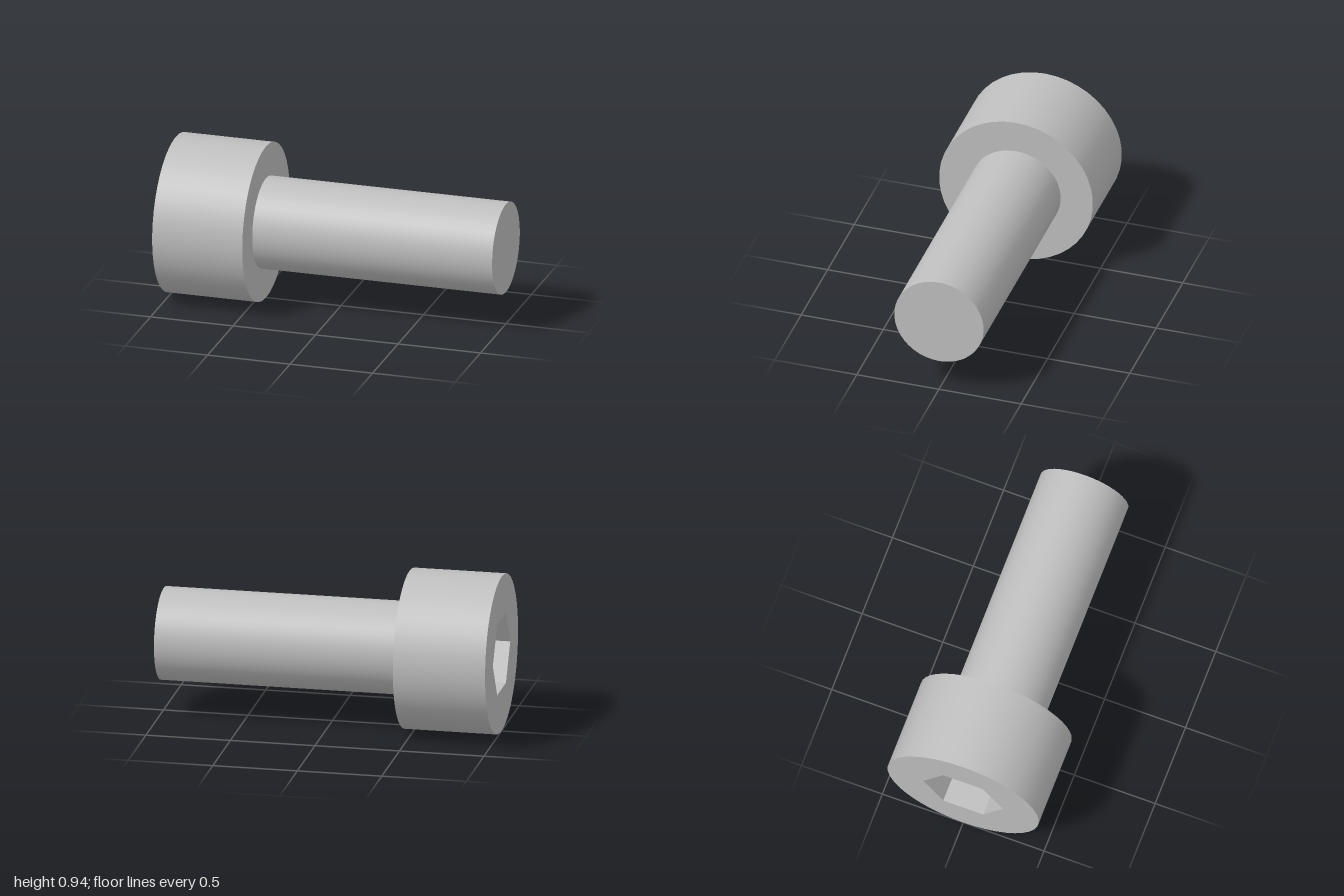
import * as THREE from 'three';

const SEGMENTS = 42;
const HEAD_R = 0.468, HEAD_H = 0.546;
const SHANK_R = 0.272, LENGTH = 2;
const SOCKET_R = 0.247, SOCKET_DEPTH = 0.27;

// Points of a regular polygon, starting at a given angle
function polygon(radius, sides, start) {
  return Array.from({ length: sides }, (_, i) => {
    const a = start + (i / sides) * Math.PI * 2;
    return new THREE.Vector2(Math.cos(a) * radius, Math.sin(a) * radius);
  });
}

export function createModel() {
  const steel = new THREE.MeshStandardMaterial({ color: 0xbfbfbf });
  steel.name = 'steel grey';

  // The bolt is built upright, head down, then laid along x
  const bolt = new THREE.Group();
  bolt.name = 'bolt';
  const add = (name, geometry, y) => {
    const mesh = new THREE.Mesh(geometry, steel);
    mesh.name = name;
    mesh.position.y = y;
    bolt.add(mesh);
  };
  const tube = (r, h, sides, start) =>
    new THREE.CylinderGeometry(r, r, h, sides, 1, true, start);

  // Head: side, outer face with hexagonal opening, bearing face
  add('headSide', tube(HEAD_R, HEAD_H, SEGMENTS, Math.PI / 2), -1 + HEAD_H / 2);
  const face = new THREE.Shape(polygon(HEAD_R, SEGMENTS, 0));
  face.holes.push(new THREE.Path(polygon(SOCKET_R, 6, Math.PI / 2)));
  add('headFace', new THREE.ShapeGeometry(face).rotateX(Math.PI / 2), -1);
  add('bearingFace',
    new THREE.RingGeometry(SHANK_R, HEAD_R, SEGMENTS).rotateX(-Math.PI / 2), -1 + HEAD_H);

  // Hexagonal socket: mirrored so its flat walls face inward
  const walls = tube(SOCKET_R, SOCKET_DEPTH, 6, 0).toNonIndexed().scale(-1, 1, 1);
  walls.computeVertexNormals();
  add('socketWalls', walls, -1 + SOCKET_DEPTH / 2);
  add('socketFloor',
    new THREE.CircleGeometry(SOCKET_R, 6, Math.PI / 2).rotateX(Math.PI / 2), -1 + SOCKET_DEPTH);

  // Shank and its flat end
  const shankLength = LENGTH - HEAD_H;
  add('shank', tube(SHANK_R, shankLength, SEGMENTS, Math.PI / 2), 1 - shankLength / 2);
  add('shankEnd', new THREE.CircleGeometry(SHANK_R, SEGMENTS).rotateX(-Math.PI / 2), 1);

  bolt.rotation.z = -Math.PI / 2;
  bolt.position.y = HEAD_R;

  const model = new THREE.Group();
  model.name = 'socketHeadBolt';
  model.add(bolt);
  return model;
}
